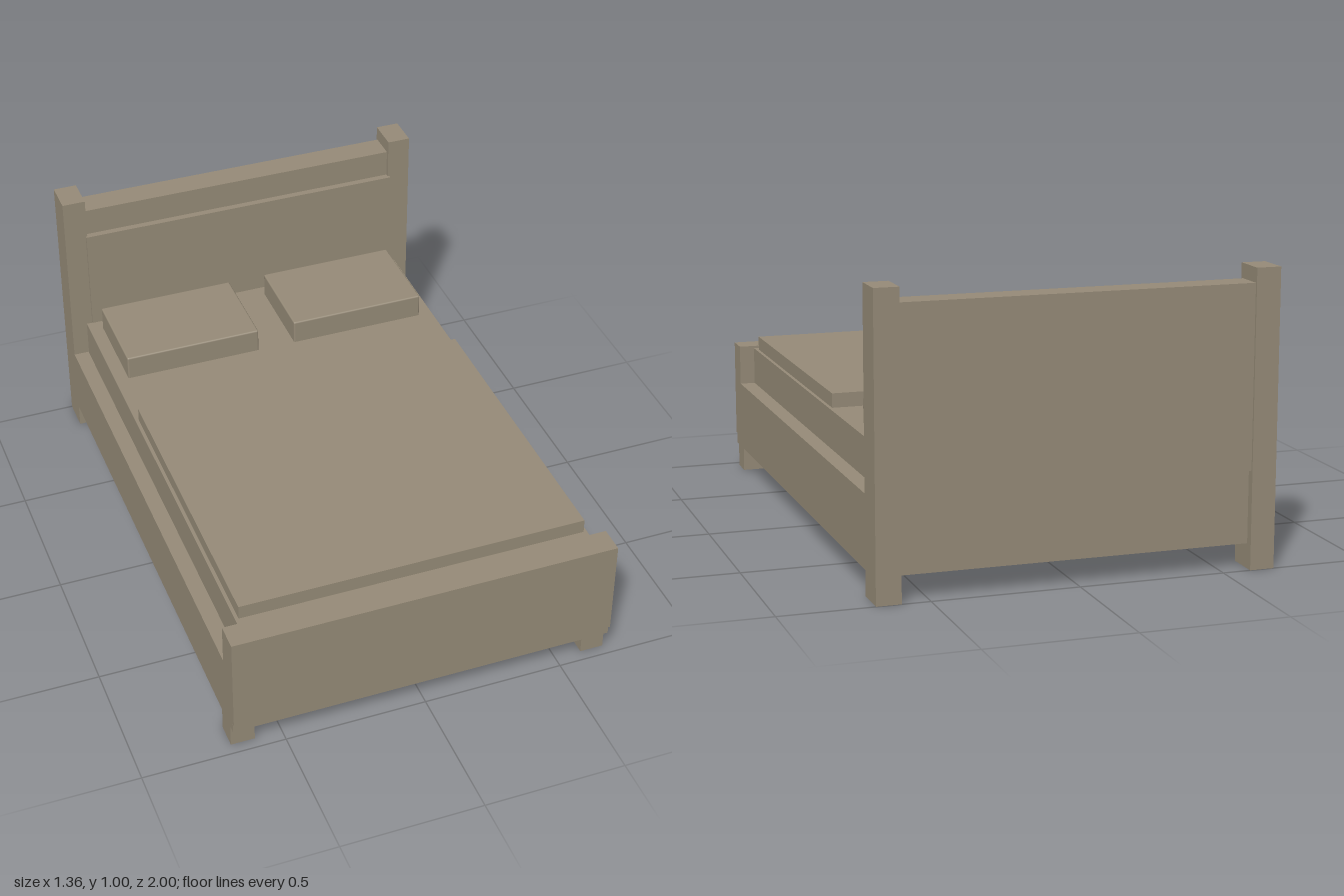
import * as THREE from 'three';
import { RoundedBoxGeometry } from 'three/addons/geometries/RoundedBoxGeometry.js';

export function createModel() {
  const bed = new THREE.Group();
  bed.name = 'bed';
  const wood = new THREE.MeshStandardMaterial({ color: 0x958a77 });
  wood.name = 'taupe';

  // Box given by its lower and upper limits on each axis; a radius softens its edges
  function block(name, [x0, x1], [y0, y1], [z0, z1], radius = 0) {
    const size = [x1 - x0, y1 - y0, z1 - z0];
    const geometry = radius
      ? new RoundedBoxGeometry(...size, 2, radius)
      : new THREE.BoxGeometry(...size);
    const mesh = new THREE.Mesh(geometry, wood);
    mesh.name = name;
    mesh.position.set((x0 + x1) / 2, (y0 + y1) / 2, (z0 + z1) / 2);
    bed.add(mesh);
  }

  // The same box on the left and right sides
  function pair(name, [x0, x1], y, z, radius) {
    block(name + 'Left', [x0, x1], y, z, radius);
    block(name + 'Right', [-x1, -x0], y, z, radius);
  }

  // Headboard
  pair('headPost', [0.596, 0.68], [0, 1.005], [-1, -0.88]);
  block('headboard', [-0.598, 0.598], [0.335, 0.955], [-0.992, -0.894]);
  block('headboardPanel', [-0.602, 0.602], [0.335, 0.855], [-0.9, -0.87]);
  block('headRail', [-0.598, 0.598], [0.085, 0.335], [-0.972, -0.87]);

  // Frame
  pair('sideRail', [0.625, 0.68], [0.085, 0.335], [-0.882, 0.91]);
  block('bedBase', [-0.63, 0.63], [0.086, 0.33], [-0.88, 0.91]);

  // Footboard with its recessed plinth and short feet
  block('footboard', [-0.68, 0.68], [0.123, 0.48], [0.906, 1]);
  block('footPlinth', [-0.68, 0.68], [0.085, 0.123], [0.9, 0.988]);
  pair('frontFoot', [0.596, 0.68], [0, 0.086], [0.875, 0.96]);

  // Bedding
  block('mattress', [-0.625, 0.625], [0.32, 0.471], [-0.872, 0.908]);
  block('blanket', [-0.613, 0.613], [0.465, 0.521], [-0.234, 0.875]);
  pair('pillow', [0.07, 0.575], [0.46, 0.559], [-0.829, -0.487], 0.006);

  return bed;
}
